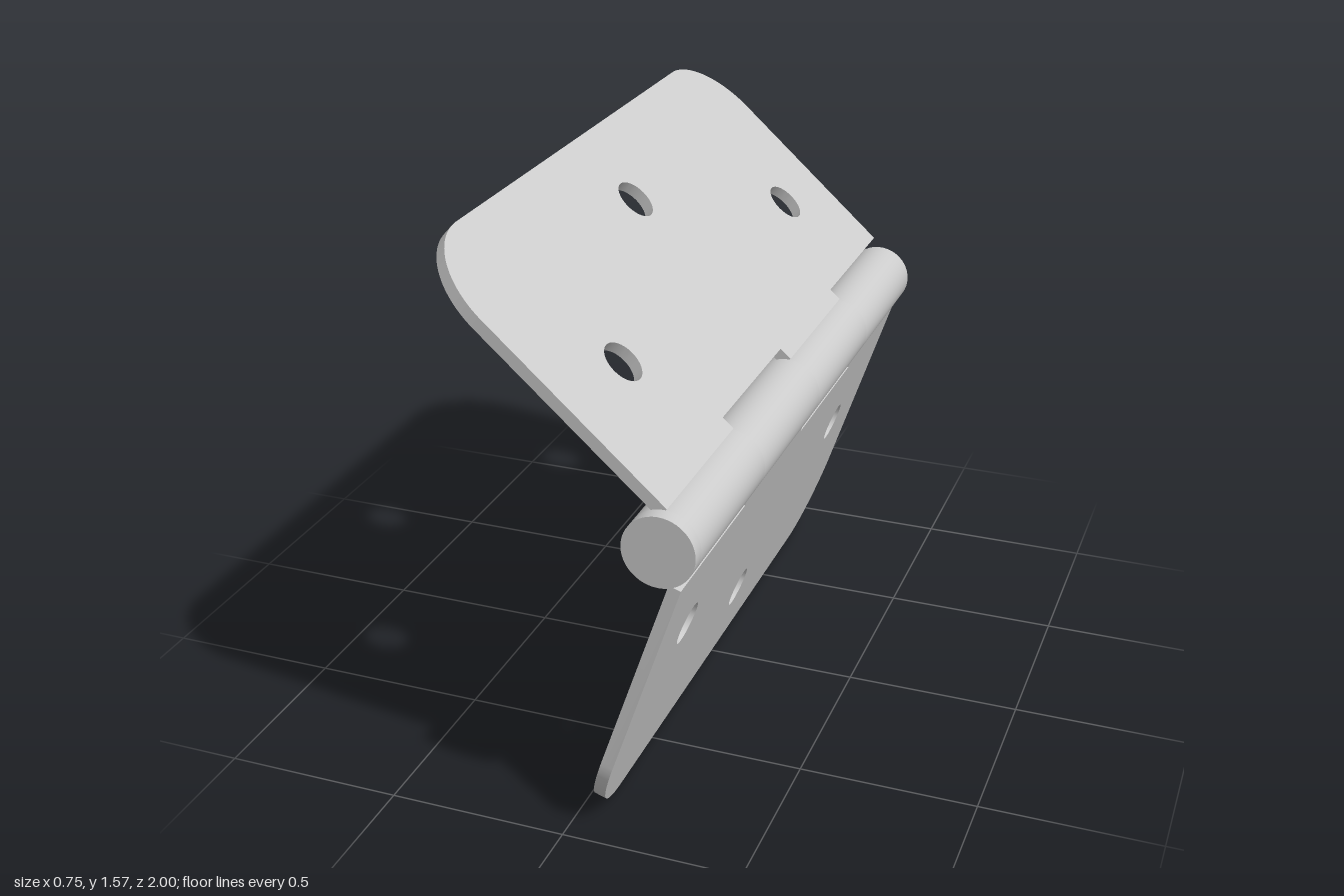
import * as THREE from 'three';
import { toCreasedNormals } from 'three/addons/utils/BufferGeometryUtils.js';

const AXIS = new THREE.Vector3(0.277, 0.904, 0);
const BARREL_R = 0.097, PIN_R = 0.062;
const BREAKS = [-1, -0.505, -0.015, 0.475, 0.96]; // knuckle joints along z
const REACH = 0.922, CORNER_R = 0.23;
const OFFSET = 0.046, THICKNESS = 0.034;

const material = new THREE.MeshStandardMaterial({ color: 0xcccccc });

function addMesh(parent, name, geometry) {
  const mesh = new THREE.Mesh(geometry, material);
  mesh.name = name;
  parent.add(mesh);
  return mesh;
}

// Revolved part running along z from z0 to z1, hollow when inner > 0
function turned(z0, z1, inner, outer) {
  const points = [[inner, z0], [outer, z0], [outer, z1], [inner, z1]];
  if (inner > 0) points.push([inner, z0]);
  const geometry = new THREE.LatheGeometry(points.map(([r, z]) => new THREE.Vector2(r, z)), 48);
  return toCreasedNormals(geometry.rotateX(Math.PI / 2), 0.6);
}

// Plate outline: x = distance from the pin, y = position along the pin
function leafGeometry(parity, holes, side, angle) {
  const z0 = BREAKS[0], z1 = BREAKS[4];
  const shape = new THREE.Shape();
  shape.moveTo(parity === 0 ? 0.06 : 0.1, z0);
  shape.lineTo(REACH - CORNER_R, z0);
  shape.absarc(REACH - CORNER_R, z0 + CORNER_R, CORNER_R, -Math.PI / 2, 0);
  shape.absarc(REACH - CORNER_R, z1 - CORNER_R, CORNER_R, 0, Math.PI / 2);
  // Tabs reach into this leaf's knuckles, notches clear the other leaf's
  for (let i = 3; i >= 0; i--) {
    const edge = i % 2 === parity ? 0.06 : 0.1;
    shape.lineTo(edge, BREAKS[i + 1]);
    if (i > 0) shape.lineTo(edge, BREAKS[i]);
  }
  for (const [x, z] of holes) {
    shape.holes.push(new THREE.Path().absarc(x, z, 0.061, 0, Math.PI * 2, true));
  }
  const geometry = new THREE.ExtrudeGeometry(shape, {
    depth: THICKNESS, bevelEnabled: false, curveSegments: 20,
  });
  geometry.translate(0, 0, side > 0 ? OFFSET : -OFFSET - THICKNESS);
  const along = new THREE.Vector3(Math.cos(angle), Math.sin(angle), 0);
  const pinDir = new THREE.Vector3(0, 0, 1);
  const normal = along.clone().cross(pinDir);
  geometry.applyMatrix4(new THREE.Matrix4().makeBasis(along, pinDir, normal));
  return toCreasedNormals(geometry, 0.6);
}

// One leaf with its alternate knuckles
function makeLeaf(name, parity, holes, side, degrees) {
  const leaf = new THREE.Group();
  leaf.name = name;
  addMesh(leaf, name + 'Plate', leafGeometry(parity, holes, side, THREE.MathUtils.degToRad(degrees)));
  for (let i = parity; i < 4; i += 2) {
    addMesh(leaf, name + 'Knuckle', turned(BREAKS[i], BREAKS[i + 1], PIN_R, BARREL_R));
  }
  return leaf;
}

export function createModel() {
  const hinge = new THREE.Group();
  hinge.name = 'hinge';
  const body = new THREE.Group();
  body.name = 'hingeBody';
  body.position.copy(AXIS);
  hinge.add(body);

  body.add(makeLeaf('upperLeaf', 1, [[0.385, -0.707], [0.685, -0.017], [0.385, 0.633]], 1, 138.1));
  body.add(makeLeaf('lowerLeaf', 0, [[0.385, -0.667], [0.68, -0.017], [0.385, 0.671]], -1, 251.4));

  // Pin with a full-width head at the front, slightly recessed at the back
  addMesh(body, 'pin', turned(-0.98, 0.96, 0, PIN_R - 0.004));
  addMesh(body, 'pinHead', turned(0.96, 1, 0, BARREL_R));
  return hinge;
}
